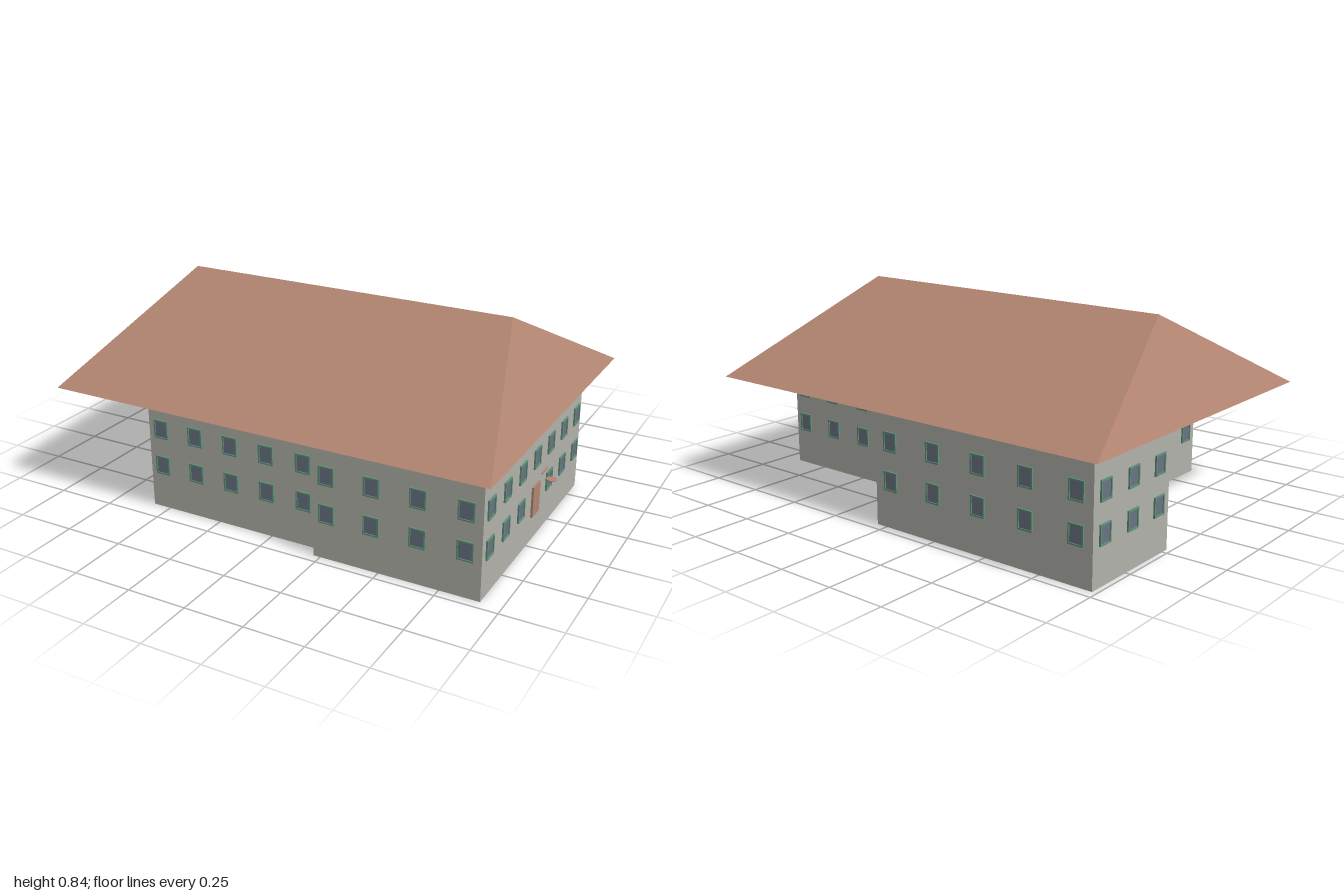
import * as THREE from 'three';

const mat = (name, color) => Object.assign(new THREE.MeshStandardMaterial({ color }), { name });

export function createModel() {
  const wallGrey = mat('wall grey', 0xb2b1aa);
  const roofBrown = mat('roof brown', 0xb28570);
  const frameGreen = mat('frame green', 0x5f927a);
  const glassBlue = mat('glass blue grey', 0x6a7382);
  const model = new THREE.Group();
  model.name = 'house';

  const add = (name, geometry, material, parent = model) => {
    const mesh = new THREE.Mesh(geometry, material);
    mesh.name = name;
    parent.add(mesh);
    return mesh;
  };

  // Walls: stepped floor plan (x, z) pulled up to the eaves
  const eave = 0.468;
  const plan = [
    [-0.98, -0.22], [-0.58, -0.22], [-0.58, 0.66], [0.22, 0.66], [0.22, 0.71],
    [0.915, 0.71], [0.915, -0.35], [0.05, -0.35], [0.05, -0.71], [-0.98, -0.71],
  ];
  const shape = new THREE.Shape(plan.map(([x, z]) => new THREE.Vector2(x, -z)));
  const walls = new THREE.ExtrudeGeometry(shape, { depth: eave - 0.002, bevelEnabled: false });
  add('walls', walls.rotateX(-Math.PI / 2), wallGrey);

  // Hipped roof: four eave corners and two ridge ends
  const a = [-1, eave, 0.725], b = [0.94, eave, 0.725];
  const c = [0.94, eave, -0.725], d = [-1, eave, -0.725];
  const l = [-0.78, 0.84, 0], r = [0.72, 0.84, 0];
  const faces = [a, b, r, a, r, l, c, d, l, c, l, r, b, c, r, d, a, l, a, d, c, a, c, b];
  const roof = new THREE.BufferGeometry();
  roof.setAttribute('position', new THREE.Float32BufferAttribute(faces.flat(), 3));
  roof.computeVertexNormals();
  add('roof', roof, roofBrown);

  // Window: a green frame with an opening around a thin pane
  const rect = (Type, w, h) => new Type([
    new THREE.Vector2(-w / 2, -h / 2), new THREE.Vector2(w / 2, -h / 2),
    new THREE.Vector2(w / 2, h / 2), new THREE.Vector2(-w / 2, h / 2),
  ]);
  const frameShape = rect(THREE.Shape, 0.066, 0.08);
  frameShape.holes.push(rect(THREE.Path, 0.054, 0.068));
  const frameGeo = new THREE.ExtrudeGeometry(frameShape, { depth: 0.007, bevelEnabled: false });
  const paneGeo = new THREE.BoxGeometry(0.056, 0.07, 0.004);

  const addWindow = (x, y, z, turn) => {
    const win = new THREE.Group();
    win.name = 'window';
    win.position.set(x, y, z);
    win.rotation.y = turn;
    add('windowFrame', frameGeo, frameGreen, win);
    add('windowPane', paneGeo, glassBlue, win).position.z = 0.001;
    model.add(win);
  };

  // Rows per wall: facing, wall plane, first and last centre, count
  const turns = { front: 0, back: Math.PI, right: Math.PI / 2, left: -Math.PI / 2 };
  const rows = [
    ['front', -0.22, -0.89, -0.685, 2],
    ['front', 0.66, -0.52, 0.15, 5],
    ['front', 0.71, 0.28, 0.85, 4],
    ['right', 0.915, 0.645, -0.29, 7],
    ['right', 0.05, -0.42, -0.64, 2],
    ['back', -0.35, 0.12, 0.855, 5],
    ['back', -0.71, -0.91, -0.03, 5],
    ['left', -0.98, -0.64, -0.29, 3],
    ['left', -0.58, -0.15, 0.59, 5],
  ];
  const doorZ = 0.178;
  for (const [side, plane, from, to, count] of rows) {
    for (let i = 0; i < count; i++) {
      const t = from + (to - from) * i / (count - 1);
      for (const y of [0.355, 0.194]) {
        // The door takes the place of one lower window
        if (plane === 0.915 && y < 0.3 && i === 3) continue;
        if (side === 'front' || side === 'back') addWindow(t, y, plane, turns[side]);
        else addWindow(plane, y, t, turns[side]);
      }
    }
  }

  // Door on the right wall
  add('door', new THREE.BoxGeometry(0.009, 0.13, 0.075), roofBrown).position.set(0.919, 0.174, doorZ);

  // Small bar and disc in front of the door
  add('bar', new THREE.BoxGeometry(0.005, 0.005, 0.064), roofBrown).position.set(0.949, 0.306, doorZ);
  add('disc', new THREE.CylinderGeometry(0.021, 0.021, 0.003, 24), roofBrown).position.set(0.978, 0.275, doorZ);

  return model;
}
